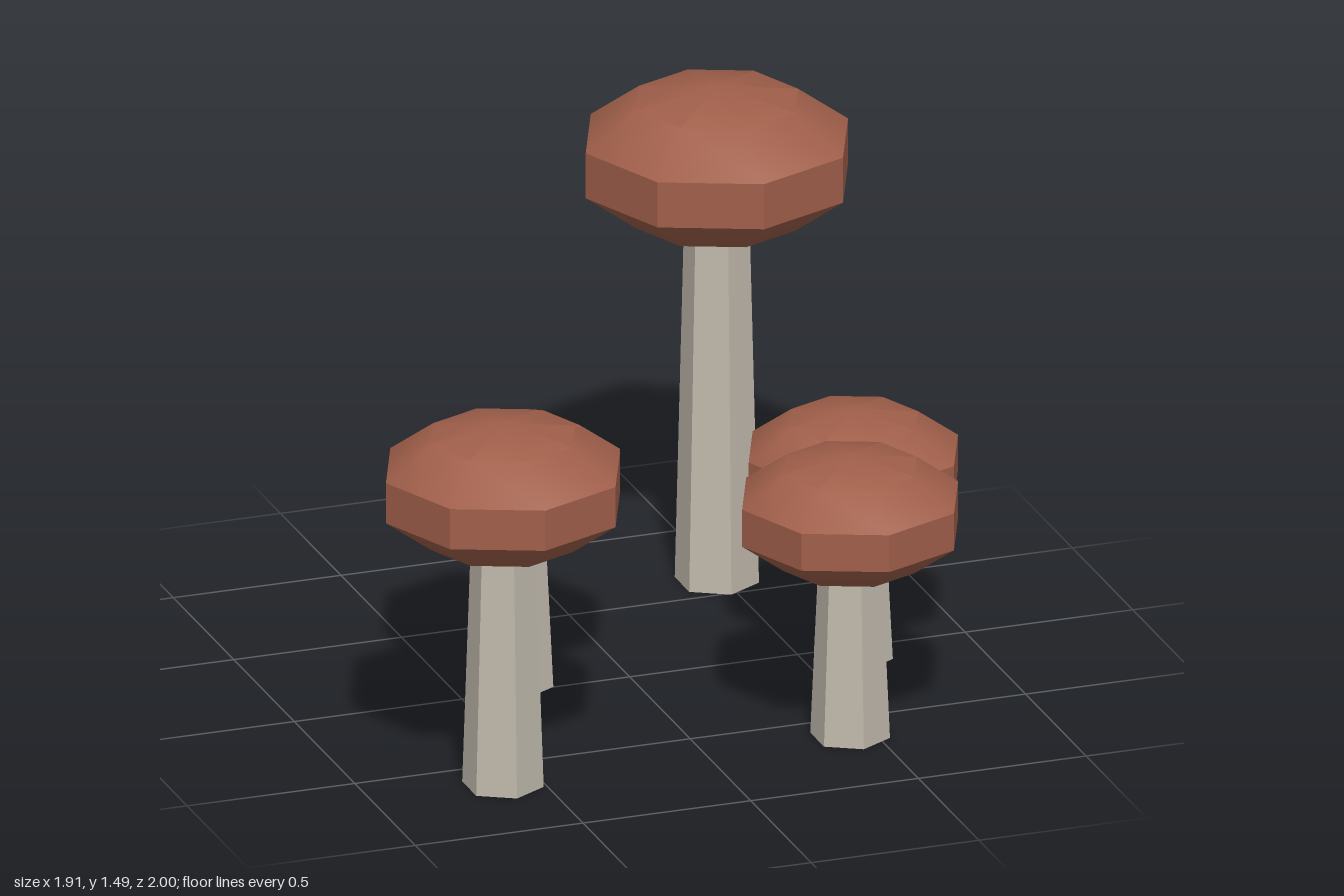
import * as THREE from 'three';
import { toCreasedNormals } from 'three/addons/utils/BufferGeometryUtils.js';

const capMaterial = new THREE.MeshStandardMaterial({ color: 0xa05f4a });
capMaterial.name = 'russet cap';
const stemMaterial = new THREE.MeshStandardMaterial({ color: 0xbfb8ab, flatShading: true });
stemMaterial.name = 'pale stem';

// Position on the ground, cap centre height, cap rim radius and cap half height
const mushrooms = [
  { name: 'tallMushroom', x: 0.48, z: -0.61, y: 1.272, rim: 0.391, half: 0.22 },
  { name: 'frontRightMushroom', x: -0.611, z: 0.646, y: 0.895, rim: 0.349, half: 0.196 },
  { name: 'middleRightMushroom', x: -0.325, z: -0.058, y: 0.613, rim: 0.317, half: 0.177 },
  { name: 'frontLeftMushroom', x: 0.431, z: 0.627, y: 0.668, rim: 0.322, half: 0.18 },
  { name: 'middleLeftMushroom', x: 0.643, z: 0.066, y: 0.573, rim: 0.312, half: 0.174 },
];

function createMushroom({ name, x, z, y, rim, half }) {
  const group = new THREE.Group();
  group.name = name;
  group.position.set(x, 0, z);

  // Cap: squashed eight-sided sphere with a crisp upright band
  const radius = rim / Math.sin(Math.PI * 0.4);
  const capGeometry = new THREE.SphereGeometry(radius, 8, 5);
  capGeometry.scale(1, half / radius, 1);
  const cap = new THREE.Mesh(toCreasedNormals(capGeometry, Math.PI / 6), capMaterial);
  cap.name = 'cap';
  cap.position.y = y;

  // Stem: tapered hexagon running up into the cap
  const base = 0.083 + 0.095 * rim;
  const stem = new THREE.Mesh(new THREE.CylinderGeometry(base * 0.74, base, y, 6), stemMaterial);
  stem.name = 'stem';
  stem.position.y = y / 2;

  group.add(cap, stem);
  return group;
}

export function createModel() {
  const model = new THREE.Group();
  model.name = 'mushroomCluster';
  for (const spec of mushrooms) model.add(createMushroom(spec));
  return model;
}
